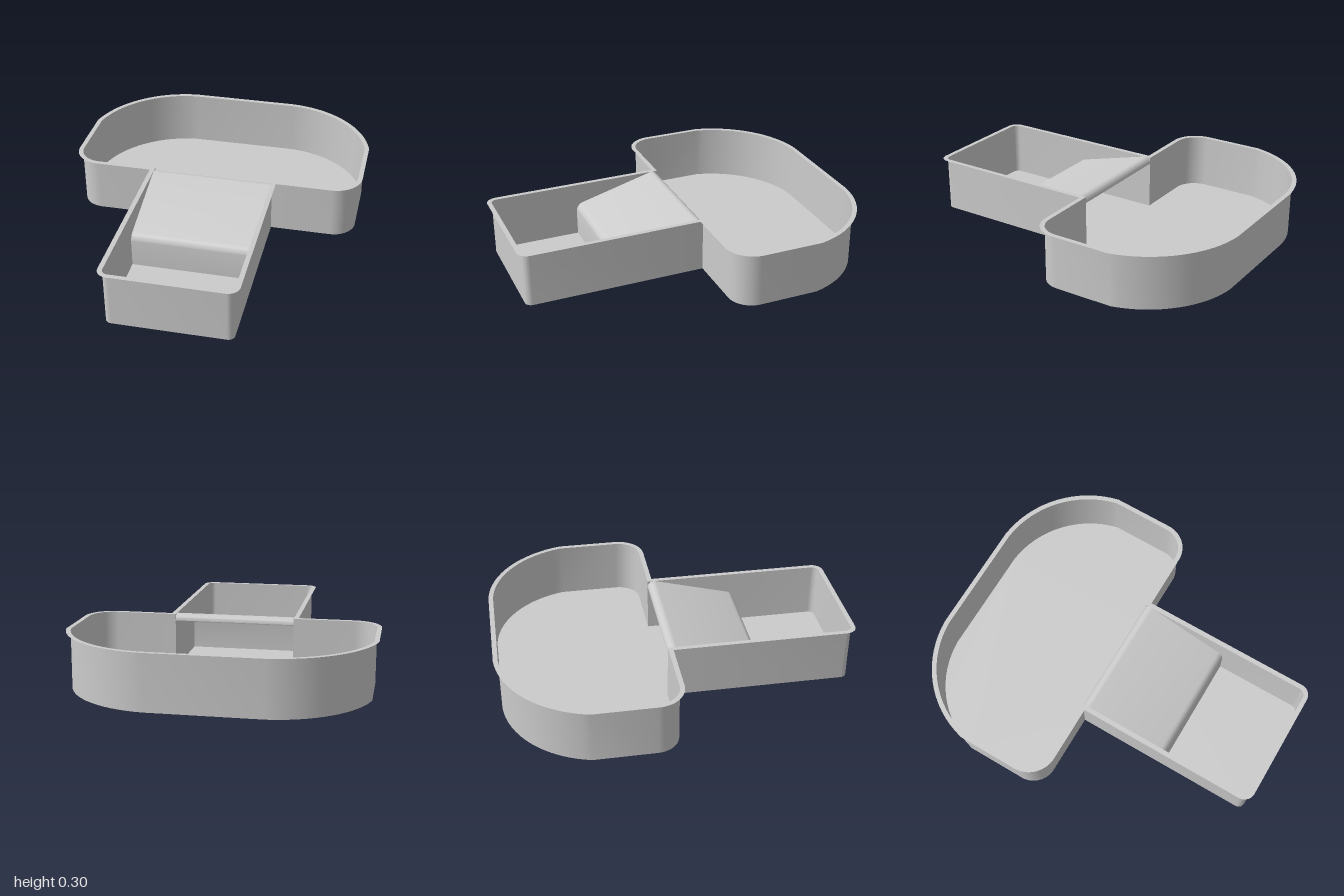
import * as THREE from 'three';
import { toCreasedNormals } from 'three/addons/utils/BufferGeometryUtils.js';

const HEIGHT = 0.3;
const LIP = 0.025;
const material = new THREE.MeshStandardMaterial({ color: 0xcccccc, side: THREE.DoubleSide });

// Points on an arc, angles in degrees
function arc(cx, cy, r, from, to, n) {
  return Array.from({ length: n + 1 }, (_, i) => {
    const a = THREE.MathUtils.degToRad(from + ((to - from) * i) / n);
    return new THREE.Vector2(cx + r * Math.cos(a), cy + r * Math.sin(a));
  });
}

// Plan outline of basin plus channel, moved inwards by d; y of each point is the depth
function outline(d) {
  const body = 0.8 - d, arm = 0.35 - d, front = 0.01 - d, end = 0.985 - d;
  const R = 0.553 - d, cx = 0.26, r = 0.15 - d, s = 0.06 - d;
  const sideAngle = THREE.MathUtils.radToDeg(Math.acos((body - cx) / R));
  const half = [
    ...arc(cx, -0.345, R, -86, -sideAngle, 16),
    ...arc(body - r, front - r, r, 0, 90, 14),
    new THREE.Vector2(arm, front),
    ...arc(arm - s, end - s, s, 0, 90, 12),
  ];
  const mirrored = half.map((p) => new THREE.Vector2(-p.x, p.y)).reverse();
  return [...half, ...mirrored];
}

// Surface between two rows of 3D points
function strip(a, b) {
  const pos = [];
  for (let i = 0; i < a.length - 1; i++) {
    for (const p of [a[i], a[i + 1], b[i], b[i], a[i + 1], b[i + 1]]) pos.push(p.x, p.y, p.z);
  }
  const g = new THREE.BufferGeometry();
  g.setAttribute('position', new THREE.Float32BufferAttribute(pos, 3));
  return toCreasedNormals(g, 0.3);
}

// Horizontal sheet at height y
function sheet(shape, y) {
  return new THREE.ShapeGeometry(shape).rotateX(Math.PI / 2).translate(0, y, 0);
}

export function createModel() {
  const model = new THREE.Group();
  const tray = new THREE.Group();
  tray.name = 'tray';
  tray.rotation.y = THREE.MathUtils.degToRad(-20);
  tray.position.set(-0.094, 0, -0.034);
  model.add(tray);

  const add = (name, geometry) => {
    const mesh = new THREE.Mesh(geometry, material);
    mesh.name = name;
    tray.add(mesh);
  };

  const inner = outline(LIP);
  add('floor', sheet(new THREE.Shape(inner), 0));

  // Thin upright wall all the way round
  const loop = [...inner, inner[0]];
  const row = (y) => loop.map((p) => new THREE.Vector3(p.x, y, p.y));
  add('wall', strip(row(HEIGHT), row(0)));

  // Flat lip around the top of the wall
  const lip = new THREE.Shape(outline(0));
  lip.holes.push(new THREE.Path(inner));
  add('lip', sheet(lip, HEIGHT));

  // Sloping bridge across the channel: rounded top, ramp, rounded drop to the floor
  const profile = [
    ...arc(0.02, HEIGHT - 0.035, 0.035, 180, 70, 10),
    ...arc(0.425, 0.14, 0.05, 70, 0, 8),
    new THREE.Vector2(0.475, 0),
  ];
  const w = 0.35 - LIP;
  const side = (x) => profile.map((p) => new THREE.Vector3(x, p.y, p.x));
  add('ramp', strip(side(w), side(-w)));

  return model;
}
